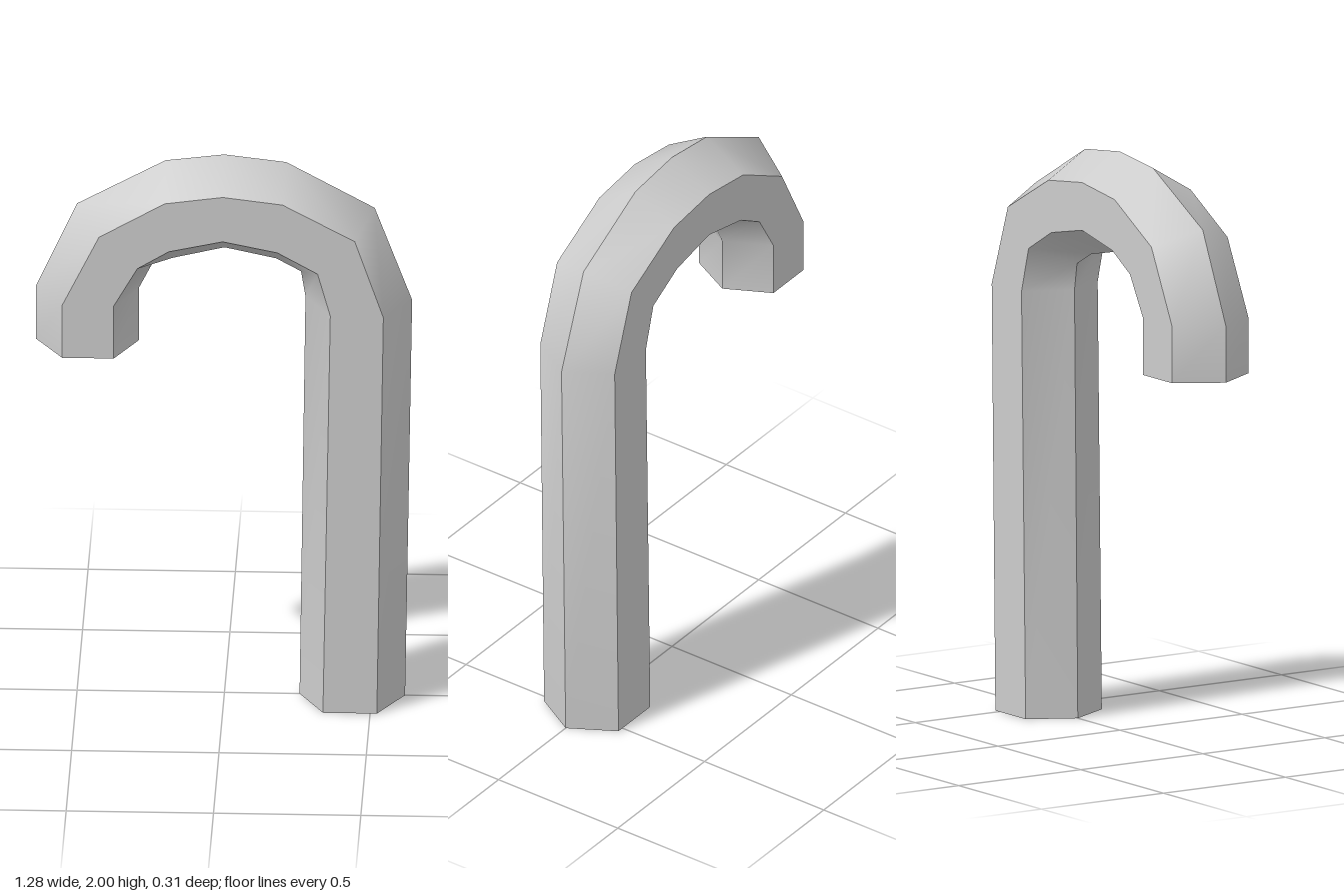
import * as THREE from 'three';
import { toCreasedNormals } from 'three/addons/utils/BufferGeometryUtils.js';

const HALF_DEPTH = 0.156;

// Hexagonal cross-sections from the foot, up the shaft and round the hook.
// Each: outer ridge, outer edge, inner edge, inner ridge as x, y.
const sections = [
  [0.613, 0, 0.523, 0, 0.34, 0, 0.255, 0],
  [0.637, 1.47, 0.545, 1.472, 0.365, 1.475, 0.275, 1.477],
  [0.51, 1.81, 0.448, 1.753, 0.322, 1.63, 0.26, 1.57],
  [0.21, 1.975, 0.203, 1.885, 0.185, 1.707, 0.175, 1.617],
  [0, 2, 0, 1.91, 0, 1.745, 0, 1.655],
  [-0.2, 1.975, -0.197, 1.883, -0.183, 1.705, -0.175, 1.613],
  [-0.5, 1.81, -0.42, 1.755, -0.29, 1.64, -0.245, 1.59],
  [-0.64, 1.5, -0.545, 1.5, -0.37, 1.5, -0.29, 1.5],
  [-0.64, 1.305, -0.545, 1.305, -0.37, 1.305, -0.29, 1.305],
];

function caneGeometry() {
  const positions = [];
  const index = [];

  // Six corners per section, mirrored front to back
  for (const [ax, ay, bx, by, cx, cy, dx, dy] of sections) {
    positions.push(
      ax, ay, 0,
      bx, by, HALF_DEPTH,
      cx, cy, HALF_DEPTH,
      dx, dy, 0,
      cx, cy, -HALF_DEPTH,
      bx, by, -HALF_DEPTH,
    );
  }

  // Sides
  for (let i = 0; i < sections.length - 1; i++) {
    for (let j = 0; j < 6; j++) {
      const a = i * 6 + j;
      const b = i * 6 + (j + 1) % 6;
      index.push(a, a + 6, b, b, a + 6, b + 6);
    }
  }

  // End caps
  const last = (sections.length - 1) * 6;
  for (let j = 1; j < 5; j++) {
    index.push(0, j, j + 1);
    index.push(last, last + j + 1, last + j);
  }

  const geometry = new THREE.BufferGeometry();
  geometry.setAttribute('position', new THREE.Float32BufferAttribute(positions, 3));
  geometry.setIndex(index);
  // Smooth along the bend, sharp along the hexagon's edges
  return toCreasedNormals(geometry, 0.85);
}

export function createModel() {
  const group = new THREE.Group();
  group.name = 'hookedCane';
  const cane = new THREE.Mesh(
    caneGeometry(),
    new THREE.MeshStandardMaterial({ color: 0xcccccc }),
  );
  cane.name = 'cane';
  group.add(cane);
  return group;
}
